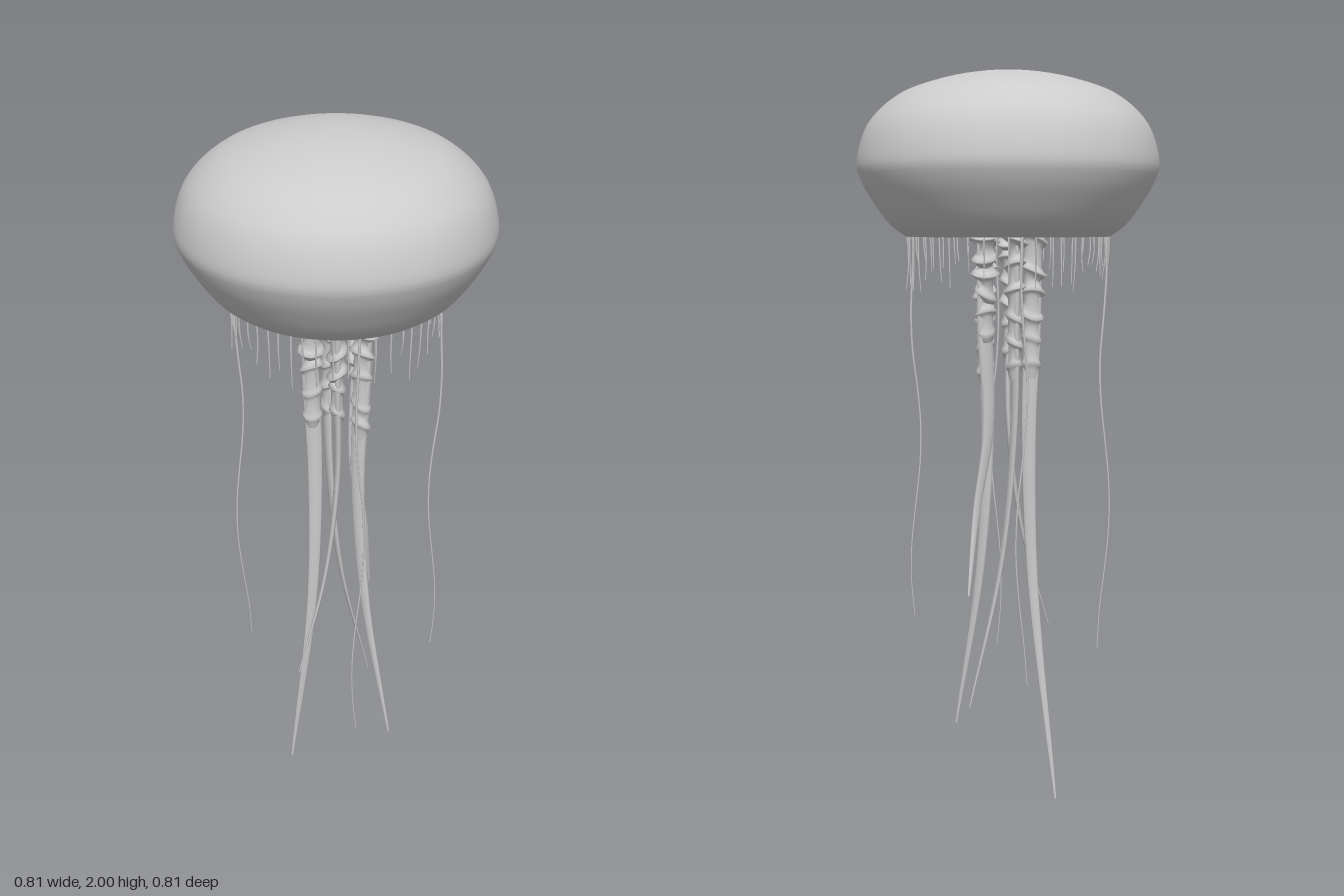
import * as THREE from 'three';

const material = new THREE.MeshStandardMaterial({ color: 0xcccccc, side: THREE.DoubleSide });
const V = (x, y, z) => new THREE.Vector3(x, y, z);

function seeded(seed) {
  return () => (seed = (seed * 16807) % 2147483647) / 2147483647;
}

function addMesh(parent, name, geometry) {
  const mesh = new THREE.Mesh(geometry, material);
  mesh.name = name;
  parent.add(mesh);
  return mesh;
}

// Smooth lathe through a few [radius, height] points
function lathe(points, steps = 40) {
  const curve = new THREE.SplineCurve(points.map(([r, y]) => new THREE.Vector2(r, y)));
  const profile = curve.getPoints(steps).map((p) => p.set(Math.max(p.x, 0), p.y));
  return new THREE.LatheGeometry(profile, 64);
}

// Tapered strand with an elliptical cross-section, its wide side along `angle`
function strand(curve, rows, sides, size, angle) {
  const positions = [];
  const indices = [];
  const c = Math.cos(angle), s = Math.sin(angle);
  rows.forEach((row, i) => {
    const p = curve.getPoint(row.t);
    const [wide, thin] = size(row);
    for (let j = 0; j < sides; j++) {
      const a = (j / sides) * Math.PI * 2;
      const u = Math.cos(a) * wide, v = Math.sin(a) * thin;
      const tilt = (row.tilt || 0) * Math.cos(a + (row.turn || 0));
      positions.push(p.x + u * c - v * s, p.y + tilt, p.z + u * s + v * c);
      if (i < rows.length - 1) {
        const k = i * sides + j, n = i * sides + ((j + 1) % sides);
        indices.push(k, n, k + sides, n, n + sides, k + sides);
      }
    }
  });
  const geometry = new THREE.BufferGeometry();
  geometry.setAttribute('position', new THREE.Float32BufferAttribute(positions, 3));
  geometry.setIndex(indices);
  geometry.computeVertexNormals();
  return geometry;
}

const evenRows = (n) => Array.from({ length: n + 1 }, (_, i) => ({ t: i / n }));

// Ribbon-like oral arm; its upper part carries flared frills
function oralArm(group, arm, random) {
  const [x, z] = arm.start;
  const [ex, ey, ez] = arm.end;
  const [mx, mz] = arm.mid;
  const angle = Math.atan2(z, x);
  const top = 1.66;
  const curve = new THREE.CatmullRomCurve3([
    V(x, top, z), V(x, 1.35, z), V(x * 0.85, 1.05, z * 0.85), V(mx, arm.midY, mz), V(ex, ey, ez),
  ]);
  addMesh(group, 'oralArmRibbon', strand(curve, evenRows(40), 10, ({ t }) => {
    const y = curve.getPoint(t).y;
    const fade = Math.min(1, Math.max(0, (y - ey) / (1.25 - ey)));
    return [0.003 + 0.021 * fade ** 0.8, 0.002 + 0.009 * fade];
  }, angle));

  // Frills: a waisted sleeve with thin flared rims
  const rows = [];
  const count = 6;
  const spacing = (1.6 - arm.frillEnd) / count;
  const axis = new THREE.LineCurve3(V(x, 1.62, z), V(x * 0.93, arm.frillEnd, z * 0.93));
  const length = 1.62 - arm.frillEnd;
  for (let i = 0; i < count; i++) {
    const y = 1.6 - (i + 0.55 + 0.3 * random()) * spacing;
    const tilt = 0.008 + 0.008 * random();
    const turn = random() * 6.28;
    const flare = (0.043 + 0.008 * random()) * (1 - 0.06 * i);
    [[0.022, 0.024], [0.009, 0.03], [0, flare], [-0.005, flare * 0.8], [-0.016, 0.023]].forEach(([dy, r]) =>
      rows.push({ t: (1.62 - y - dy) / length, r: r * (1 - 0.03 * i), tilt, turn }));
  }
  rows.push({ t: 1.04, r: 0.015 });
  addMesh(group, 'oralArmFrills', strand(axis, rows, 16, ({ r }) => [r, r * 0.78], angle));
}

export function createModel() {
  const model = new THREE.Group();
  model.name = 'jellyfish';
  const random = seeded(4711);

  // Bell: outer dome, rolled rim and hollow underside
  const bell = new THREE.Group();
  bell.name = 'bell';
  model.add(bell);
  addMesh(bell, 'outerBell', lathe([
    [0.272, 1.565], [0.315, 1.597], [0.355, 1.65], [0.39, 1.71], [0.402, 1.765],
    [0.371, 1.86], [0.295, 1.932], [0.2, 1.97], [0.1, 1.992], [0, 2],
  ]));
  addMesh(bell, 'innerBell', lathe([
    [0, 1.83], [0.12, 1.82], [0.22, 1.785], [0.285, 1.72], [0.295, 1.65], [0.272, 1.595], [0.272, 1.565],
  ]));
  addMesh(bell, 'stomach', lathe([
    [0, 1.625], [0.06, 1.63], [0.11, 1.655], [0.13, 1.7], [0.11, 1.76], [0.09, 1.83],
  ], 24));

  // Five oral arms hanging in a ring, each drifting its own way
  const arms = [
    { start: [0.078, 0.005], mid: [0.1, 0.015], midY: 0.82, end: [0.148, 0.6, -0.01], frillEnd: 1.3 },
    { start: [0.025, 0.073], mid: [0.03, 0.085], midY: 0.65, end: [0.06, 0.18, 0.16], frillEnd: 1.18 },
    { start: [-0.05, 0.055], mid: [-0.085, 0.04], midY: 0.75, end: [-0.172, 0.46, 0.025], frillEnd: 1.25 },
    { start: [-0.05, -0.045], mid: [-0.052, -0.045], midY: 0.62, end: [-0.077, 0, -0.115], frillEnd: 1.2 },
    { start: [0.025, -0.058], mid: [0.05, -0.03], midY: 0.68, end: [0.14, 0.285, -0.003], frillEnd: 1.2 },
  ];
  arms.forEach((arm) => {
    const group = new THREE.Group();
    group.name = 'oralArm';
    model.add(group);
    oralArm(group, arm, random);
  });

  // Four long, thin, wavy tentacles
  [[1, 1, 0.5], [1, -1, 0.4], [-1, 1, 0.36], [-1, -1, 0.45]].forEach(([sx, sz, end], n) => {
    const points = [];
    for (let i = 0; i <= 10; i++) {
      const t = i / 10;
      const sway = 0.014 * Math.sin(t * 9 + n * 1.7) * Math.min(1, t * 3);
      points.push(V(sx * 0.146 + sway, 1.58 + (end - 1.58) * t, sz * 0.228 + sway * 0.5));
    }
    addMesh(model, 'longTentacle', strand(new THREE.CatmullRomCurve3(points), evenRows(40), 6,
      ({ t }) => [0.0035 - 0.002 * t, 0.0035 - 0.002 * t], 0));
  });

  // Short fringe around the rim
  const fringe = new THREE.Group();
  fringe.name = 'fringe';
  model.add(fringe);
  const count = 48;
  for (let i = 0; i < count; i++) {
    const a = ((i + 0.4 * random()) / count) * Math.PI * 2;
    const drop = 0.06 + 0.085 * random();
    const at = (r, y) => V(Math.cos(a) * r, y, Math.sin(a) * r);
    const curve = new THREE.CatmullRomCurve3([
      at(0.271, 1.575), at(0.27 + 0.006 * (random() - 0.5), 1.565 - drop / 2), at(0.262 + 0.012 * random(), 1.565 - drop),
    ]);
    addMesh(fringe, 'fringeTentacle', strand(curve, evenRows(6), 5,
      ({ t }) => [0.003 - 0.0015 * t, 0.003 - 0.0015 * t], 0));
  }
  return model;
}
